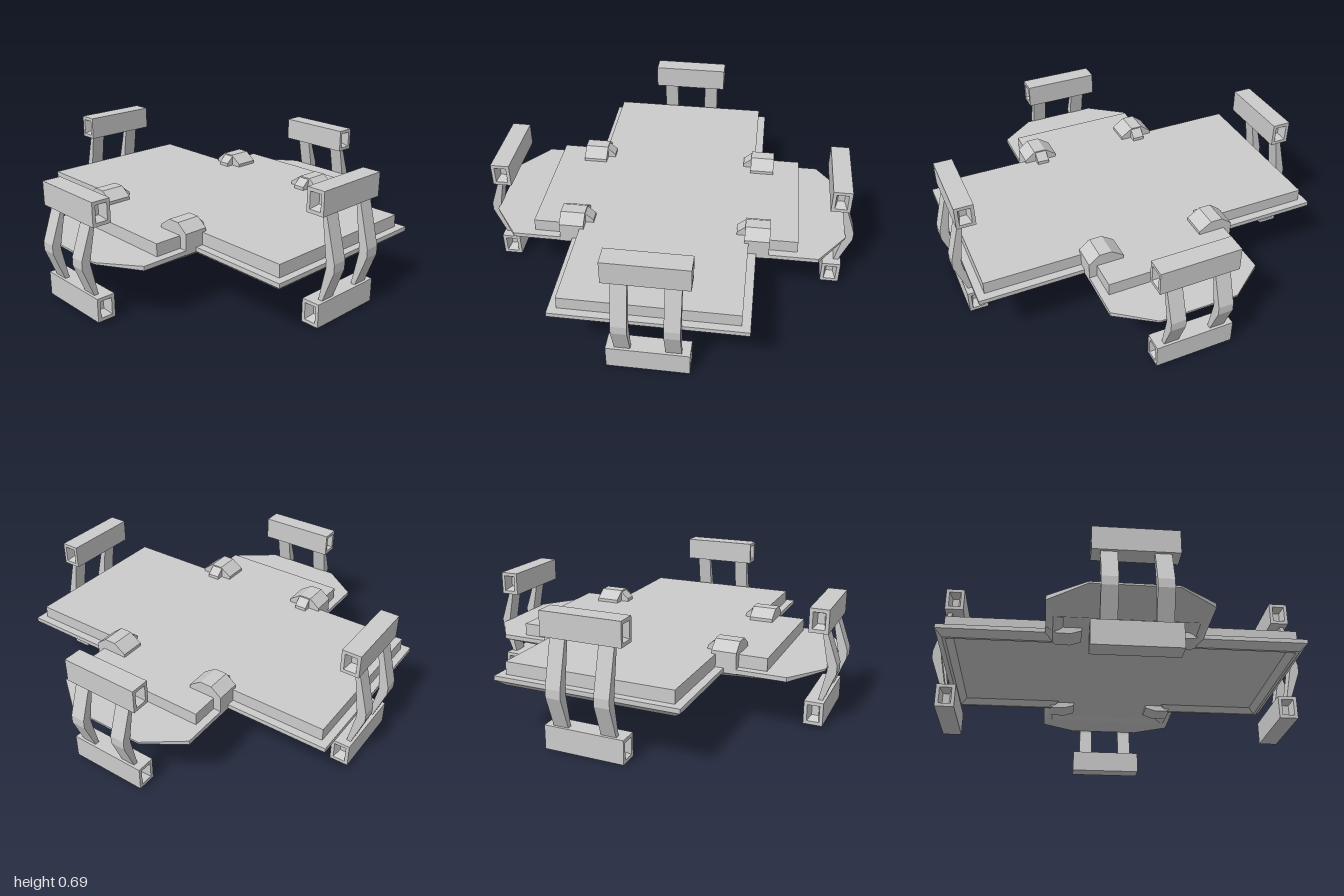
import * as THREE from 'three';

const material = new THREE.MeshStandardMaterial({ color: 0xcccccc, flatShading: true });

function addMesh(parent, name, geometry) {
  const mesh = new THREE.Mesh(geometry, material);
  mesh.name = name;
  parent.add(mesh);
  return mesh;
}

// Closed solid through rings of equal length, each counter-clockwise seen from the first end.
// flat: projects a point to 2D for the end caps; dir: outward direction of the first cap.
function loft(rings, flat, dir) {
  const pos = [];
  const tri = (...pts) => pts.forEach((p) => pos.push(p.x, p.y, p.z));
  for (let r = 0; r < rings.length - 1; r++) {
    const a = rings[r], b = rings[r + 1];
    a.forEach((p, i) => {
      const j = (i + 1) % a.length;
      tri(p, b[i], b[j]);
      tri(p, b[j], a[j]);
    });
  }
  const cap = (ring, out) => {
    for (const [i, j, k] of THREE.ShapeUtils.triangulateShape(ring.map(flat), [])) {
      const [a, b, c] = [ring[i], ring[j], ring[k]];
      const n = b.clone().sub(a).cross(c.clone().sub(a));
      if (n.dot(out) > 0) tri(a, b, c);
      else tri(a, c, b);
    }
  };
  cap(rings[0], dir);
  cap(rings[rings.length - 1], dir.clone().negate());
  const g = new THREE.BufferGeometry();
  g.setAttribute('position', new THREE.Float32BufferAttribute(pos, 3));
  g.computeVertexNormals();
  return g;
}

// Cross-shaped ring mirrored from one quadrant of [x, z, y] corners
function crossRing(quadrant) {
  const back = [...quadrant].reverse();
  const make = (list, sx, sz) => list.map(([x, z, y]) => new THREE.Vector3(sx * x, y, sz * z));
  return [...make(quadrant, 1, -1), ...make(back, -1, -1), ...make(quadrant, -1, 1), ...make(back, 1, 1)];
}

function crossSolid(quadrants) {
  return loft(quadrants.map(crossRing), (p) => new THREE.Vector2(p.x, p.z), new THREE.Vector3(0, 1, 0));
}

// Side profile of [z, y] points, given a width along x and centred on cx
function sideProfile(points, width, cx) {
  const shape = new THREE.Shape(points.map(([z, y]) => new THREE.Vector2(z, y)));
  return new THREE.ExtrudeGeometry(shape, { depth: width, bevelEnabled: false })
    .rotateY(-Math.PI / 2)
    .translate(cx + width / 2, 0, 0);
}

// Beam along x with a tapered socket in each end
function beamGeometry(length) {
  const h = length / 2;
  const ring = (x, w, t) =>
    [[1, 1], [-1, 1], [-1, -1], [1, -1]].map(([z, y]) => new THREE.Vector3(x, y * t, z * w));
  return loft([
    ring(-h + 0.05, 0.018, 0.028),
    ring(-h, 0.032, 0.044),
    ring(-h, 0.05, 0.0625),
    ring(h, 0.05, 0.0625),
    ring(h, 0.032, 0.044),
    ring(h - 0.05, 0.018, 0.028),
  ], (p) => new THREE.Vector2(p.y, p.z), new THREE.Vector3(-1, 0, 0));
}

// Two beams joined by a pair of bowed struts, facing +z
function beamFrame(name, topY, lowY, cx) {
  const frame = new THREE.Group();
  frame.name = name;
  addMesh(frame, 'upperBeam', beamGeometry(0.42)).position.set(cx, topY, 0.905);
  addMesh(frame, 'lowerBeam', beamGeometry(0.42)).position.set(cx, lowY, 0.905);
  const t = topY - 0.055, b = lowY + 0.055;
  const bow = [[0.915, b], [0.938, b], [1, 0.29], [1, 0.335], [0.938, t], [0.915, t], [0.952, 0.325], [0.952, 0.305]];
  for (const side of [-1, 1]) addMesh(frame, 'strut', sideProfile(bow, 0.08, cx + side * 0.127));
  return frame;
}

export function createModel() {
  const model = new THREE.Group();
  model.name = 'platform';

  // Hull: thin rim, bevel down to a lip, recessed underside
  addMesh(model, 'hull', crossSolid([
    [[0.95, 0.488, 0.33], [0.402, 0.488, 0.33], [0.402, 0.81, 0.33], [0.21, 0.955, 0.33]],
    [[0.95, 0.488, 0.307], [0.402, 0.488, 0.307], [0.402, 0.81, 0.307], [0.21, 0.955, 0.32]],
    [[0.915, 0.45, 0.276], [0.365, 0.45, 0.276], [0.365, 0.7, 0.29], [0.2, 0.7, 0.29]],
    [[0.9, 0.435, 0.276], [0.35, 0.435, 0.276], [0.35, 0.685, 0.29], [0.19, 0.685, 0.29]],
    [[0.865, 0.4, 0.305], [0.315, 0.4, 0.305], [0.315, 0.65, 0.305], [0.18, 0.65, 0.305]],
  ]));

  // Raised deck
  const deck = (y) => [[0.91, 0.445, y], [0.36, 0.445, y], [0.36, 0.7, y]];
  addMesh(model, 'deck', crossSolid([deck(0.397), deck(0.325)]));

  // Corner clamps with a sloped tab pointing inward
  const clampShape = new THREE.Shape([
    [0.22, 0.29], [0.275, 0.272], [0.345, 0.272], [0.402, 0.305],
    [0.402, 0.415], [0.345, 0.46], [0.28, 0.46], [0.215, 0.415],
  ].map(([x, y]) => new THREE.Vector2(x, y)));
  const tab = [[0.38, 0.39], [0.45, 0.39], [0.45, 0.455], [0.425, 0.455], [0.38, 0.415]];
  for (let k = 0; k < 4; k++) {
    const clamp = new THREE.Group();
    clamp.name = 'cornerClamp';
    const sx = k % 2 ? -1 : 1, sz = k < 2 ? 1 : -1;
    clamp.scale.set(sx, 1, sz);
    addMesh(clamp, 'clampBlock',
      new THREE.ExtrudeGeometry(clampShape, { depth: 0.13, bevelEnabled: false }).translate(0, 0, 0.423));
    addMesh(clamp, 'clampTab', sideProfile(tab, 0.065, 0.307));
    model.add(clamp);
  }

  // Beam frames on the four sides
  ['frontFrame', 'leftFrame', 'backFrame', 'rightFrame'].forEach((name, k) => {
    const side = k % 2 === 1;
    const frame = side
      ? beamFrame(name, 0.632, 0.0635, 0)
      : beamFrame(name, 0.568, 0.077, k === 0 ? 0.008 : -0.008);
    frame.rotation.y = (k * Math.PI) / 2;
    model.add(frame);
  });

  return model;
}
